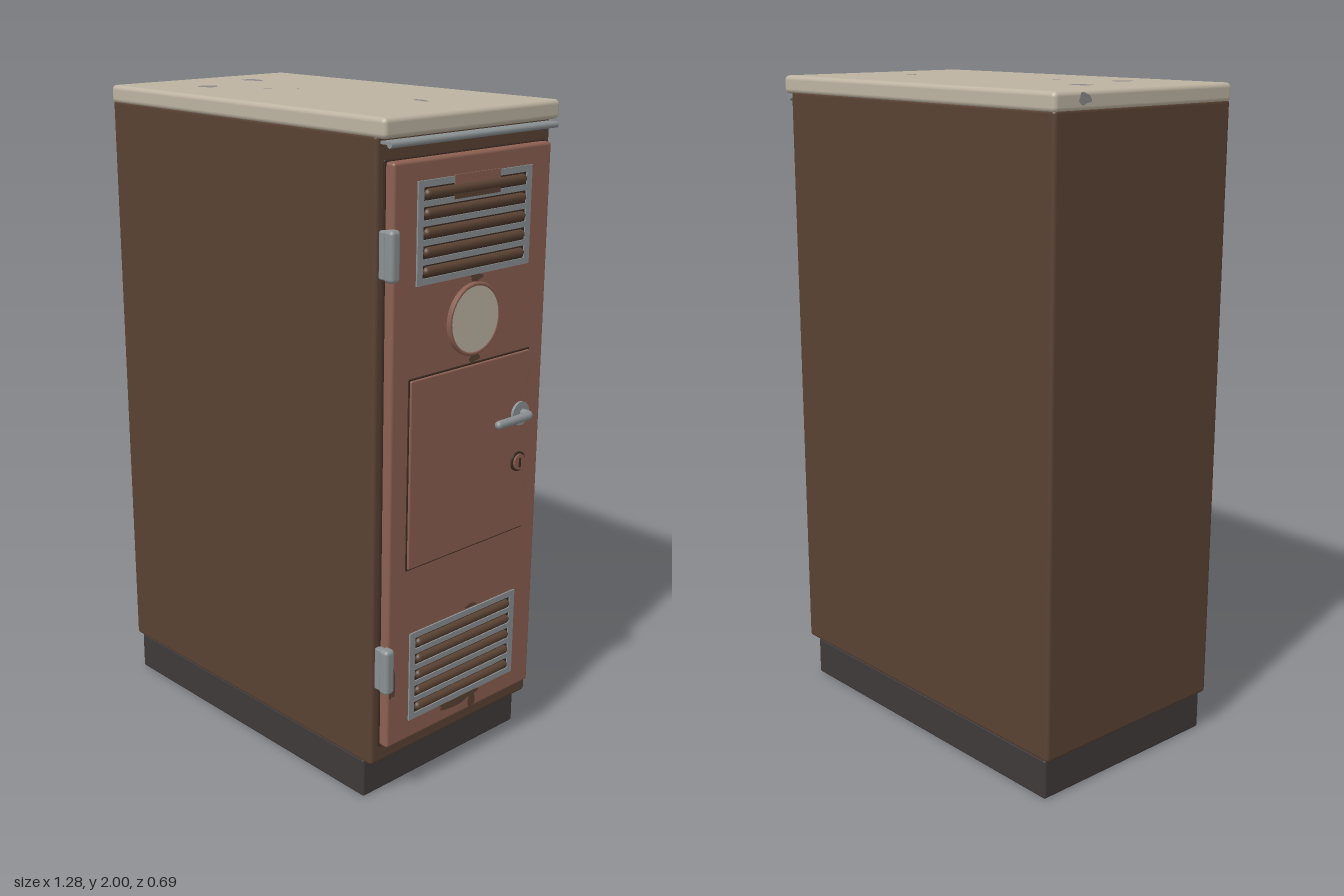
import * as THREE from 'three';
import { RoundedBoxGeometry } from 'three/addons/geometries/RoundedBoxGeometry.js';

export function createModel() {
  const mat = (name, color, side = THREE.FrontSide) => {
    const m = new THREE.MeshStandardMaterial({ color, side });
    m.name = name;
    return m;
  };
  const brown = mat('body brown', 0x5a4233);
  const rust = mat('door red brown', 0x8b5f51);
  const cream = mat('roof cream', 0xbdb3a1);
  const steel = mat('steel grey', 0x8a9092);
  const bare = mat('bare metal patches', 0x8c8a89);
  const dark = mat('plinth charcoal', 0x403a3a);
  const seam = mat('seam dark brown', 0x3c2a22);

  const model = new THREE.Group();
  model.name = 'cabinet';
  const front = new THREE.Group(); // local x = -z, local z = +x of the cabinet
  front.name = 'doorSide';
  front.rotation.y = Math.PI / 2;
  model.add(front);

  const add = (parent, name, geo, material, x = 0, y = 0, z = 0) => {
    const m = new THREE.Mesh(geo, material);
    m.name = name;
    m.position.set(x, y, z);
    parent.add(m);
    return m;
  };
  // Rounded box given by its limits
  const block = (parent, name, material, [x0, x1], [y0, y1], [z0, z1], r) =>
    add(parent, name, new RoundedBoxGeometry(x1 - x0, y1 - y0, z1 - z0, 3, r), material,
      (x0 + x1) / 2, (y0 + y1) / 2, (z0 + z1) / 2);
  const disc = (name, material, r, x, y, z0, z1) => {
    const m = add(front, name, new THREE.CylinderGeometry(r, r, z1 - z0, 40), material, x, y, (z0 + z1) / 2);
    m.rotation.x = Math.PI / 2;
    return m;
  };
  const rect = (x0, x1, y0, y1, Type = THREE.Shape) => {
    const s = new Type();
    s.moveTo(x0, y0).lineTo(x1, y0).lineTo(x1, y1).lineTo(x0, y1).closePath();
    return s;
  };
  // Uneven flat spot of worn paint
  const blob = (w, h, seed) => {
    const pts = [];
    for (let i = 0; i < 24; i++) {
      const a = (i / 24) * Math.PI * 2;
      const k = 0.88 + 0.13 * Math.sin(3 * a + seed) + 0.08 * Math.sin(5 * a + seed * 2);
      pts.push(new THREE.Vector2(Math.cos(a) * w * k / 2, Math.sin(a) * h * k / 2));
    }
    return new THREE.ShapeGeometry(new THREE.Shape(pts));
  };

  // Carcass
  block(model, 'plinth', dark, [-0.62, 0.5], [0, 0.125], [-0.335, 0.335], 0.008);
  block(model, 'body', brown, [-0.638, 0.54], [0.125, 1.955], [-0.344, 0.344], 0.012);
  block(model, 'roof', cream, [-0.64, 0.572], [1.945, 2], [-0.347, 0.347], 0.014);

  // Worn spots on the roof
  [[-0.465, -0.075, 0.095, 0.058, 1], [-0.387, 0.162, 0.072, 0.066, 2.5], [-0.22, 0.068, 0.036, 0.028, 4],
    [0.33, -0.025, 0.05, 0.032, 0.5], [0.36, -0.015, 0.04, 0.022, 3], [-0.143, 0.012, 0.013, 0.01, 1]]
    .forEach(([x, z, w, h, s]) => {
      add(model, 'roofWear', blob(w, h, s), bare, x, 2.001, z).rotation.x = -Math.PI / 2;
    });
  add(model, 'roofEdgeWear', blob(0.05, 0.035, 2), bare, -0.641, 1.978, -0.24).rotation.y = -Math.PI / 2;

  // Drip rail beneath the roof overhang
  const rail = add(front, 'dripRail', new THREE.CylinderGeometry(0.009, 0.009, 0.66, 12), steel, 0, 1.931, 0.572);
  rail.rotation.z = Math.PI / 2;
  add(front, 'dripRailWeb', new THREE.BoxGeometry(0.66, 0.008, 0.035), steel, 0, 1.935, 0.554);

  // Door
  block(front, 'doorSeam', seam, [-0.32, 0.316], [0.183, 1.89], [0.53, 0.546], 0.004);
  block(front, 'door', rust, [-0.315, 0.311], [0.188, 1.885], [0.53, 0.575], 0.009);

  // Ventilation grilles with rounded louvres
  const slotRows = [0.036, 0.088, 0.14, 0.192, 0.244];
  const grille = (y0, name) => {
    const plate = rect(-0.229, 0.225, y0, y0 + 0.28);
    slotRows.forEach(r => plate.holes.push(rect(-0.208, 0.203, y0 + r - 0.018, y0 + r + 0.018, THREE.Path)));
    add(front, name + 'Frame', new THREE.ExtrudeGeometry(plate, { depth: 0.006, bevelEnabled: false }),
      steel, 0, 0, 0.574);
    add(front, name + 'Backing', new THREE.BoxGeometry(0.43, 0.25, 0.002), seam, -0.002, y0 + 0.14, 0.575);
    slotRows.forEach(r => {
      const bar = add(front, name + 'Louvre', new THREE.CapsuleGeometry(0.0135, 0.376, 6, 12), brown,
        -0.0025, y0 + r, 0.577);
      bar.rotation.z = Math.PI / 2;
    });
  };
  grille(1.55, 'upperGrille');
  grille(0.25, 'lowerGrille');
  add(front, 'grillePaintPatch', new THREE.BoxGeometry(0.182, 0.026, 0.004), rust, -0.001, 1.82, 0.58);
  add(front, 'grillePaintLip', new THREE.BoxGeometry(0.182, 0.014, 0.004), brown, -0.001, 1.775, 0.58);

  // Round sign plate
  disc('signRim', rust, 0.104, -0.001, 1.425, 0.57, 0.583);
  add(front, 'signRing', new THREE.TorusGeometry(0.099, 0.006, 8, 48), rust, -0.001, 1.425, 0.583);
  disc('signFace', cream, 0.095, -0.001, 1.425, 0.57, 0.587);

  // Service hatch
  block(front, 'hatchSeam', seam, [-0.251, 0.247], [0.732, 1.297], [0.57, 0.578], 0.002);
  block(front, 'hatch', rust, [-0.247, 0.243], [0.737, 1.292], [0.57, 0.584], 0.004);

  // Lever handle
  disc('handleRose', steel, 0.036, 0.206, 1.105, 0.575, 0.592);
  const lever = new THREE.CurvePath();
  const v = (x, z) => new THREE.Vector3(x, 1.106, z);
  lever.add(new THREE.LineCurve3(v(0.213, 0.585), v(0.213, 0.607)));
  lever.add(new THREE.QuadraticBezierCurve3(v(0.213, 0.607), v(0.213, 0.622), v(0.198, 0.622)));
  lever.add(new THREE.LineCurve3(v(0.198, 0.622), v(0.075, 0.622)));
  add(front, 'handleLever', new THREE.TubeGeometry(lever, 32, 0.0125, 12), steel);
  add(front, 'handleTip', new THREE.SphereGeometry(0.0125, 12, 8), steel, 0.075, 1.106, 0.622);

  // Lock
  disc('lockRim', seam, 0.03, 0.206, 0.955, 0.575, 0.59);
  disc('lockFace', rust, 0.024, 0.206, 0.955, 0.575, 0.595);
  add(front, 'keySlot', new THREE.BoxGeometry(0.009, 0.028, 0.003), seam, 0.206, 0.953, 0.595);

  // Hinges
  [0.445, 1.645].forEach(y => {
    block(front, 'hingeLeaf', steel, [-0.335, -0.308], [y - 0.065, y + 0.065], [0.54, 0.575], 0.005);
    block(front, 'hingeBarrel', steel, [-0.34, -0.304], [y - 0.07, y + 0.07], [0.56, 0.596], 0.012);
  });

  // Worn paint on the door
  [[-0.02, 0.24, 0.19, 0.04, 1], [0.045, 0.218, 0.035, 0.07, 2], [-0.298, 0.4, 0.03, 0.13, 3],
    [0.01, 1.54, 0.055, 0.025, 1], [0.01, 1.31, 0.05, 0.03, 2], [0.03, 0.538, 0.06, 0.012, 3]]
    .forEach(([x, y, w, h, s]) => add(front, 'doorWear', blob(w, h, s), brown, x, y, 0.5765));

  return model;
}
